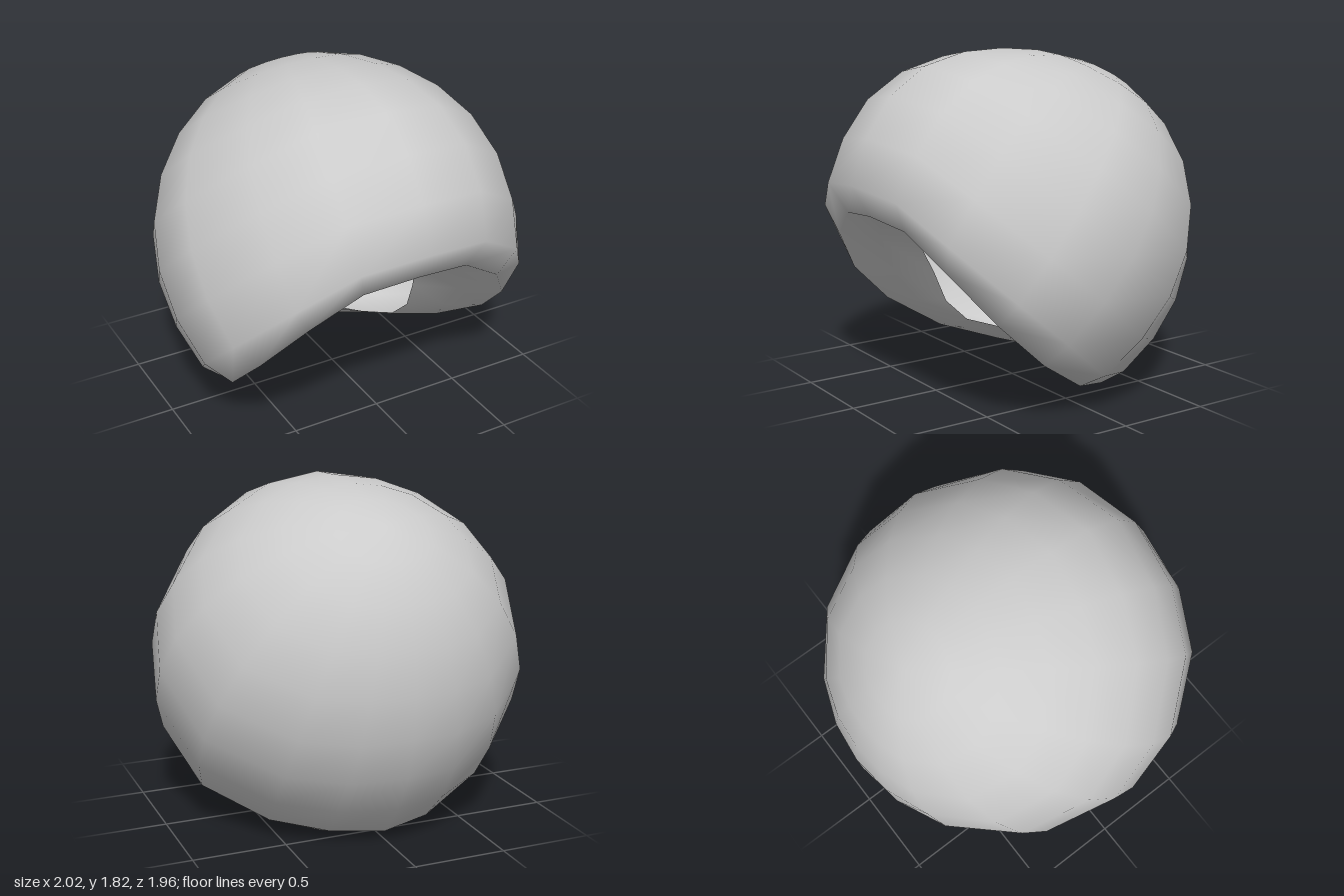
import * as THREE from 'three';

const V = (x, y, z) => new THREE.Vector3(x, y, z);
const CENTRE = V(0, 0.87, 0);
const POLE = V(0, 0.79, -0.61).normalize();   // points away from the opening
const BULGE = V(0, 0.69, 0.72).normalize();   // fuller upper front
const RINGS = 8;

// Half of a closed loop (x >= 0), mirrored to the full loop
function mirrorLoop(half) {
  const left = half.map(p => V(...p));
  const right = left.slice(1, -1).reverse().map(p => V(-p.x, p.y, p.z));
  return [...left, ...right];
}

// Dome radius in a given direction
function domeRadius(d) {
  const b = Math.max(0, d.dot(BULGE));
  return 0.94 + 0.04 * (1 - d.y * d.y) + 0.01 * d.x * d.x
    + 0.12 * d.y * d.y * d.z * d.z + 0.07 * b ** 6;
}

export function createModel() {
  const group = new THREE.Group();

  // Outer edge of the slanted opening, from the front down to the back
  const rim = mirrorLoop([
    [0, 1.17, 0.98], [0.36, 1.13, 0.93], [0.65, 0.95, 0.81],
    [0.87, 0.68, 0.56], [0.92, 0.45, 0.3], [0.8, 0.2, -0.02],
    [0.54, 0.09, -0.36], [0.28, 0.06, -0.55], [0, 0.05, -0.64],
  ]);
  // Lowest line of the rounded lip
  const lip = mirrorLoop([
    [0, 1.0, 0.88], [0.3, 0.97, 0.85], [0.56, 0.8, 0.77],
    [0.74, 0.55, 0.59], [0.79, 0.32, 0.35], [0.69, 0.13, 0.05],
    [0.5, 0.04, -0.24], [0.27, 0.01, -0.42], [0, 0, -0.52],
  ]);
  // Inner hole where the lip ends
  const hole = mirrorLoop([
    [0, 0.955, 0.56], [0.15, 0.915, 0.53], [0.27, 0.75, 0.43],
    [0.35, 0.55, 0.29], [0.375, 0.37, 0.2], [0.345, 0.25, 0.08],
    [0.27, 0.195, -0.09], [0.14, 0.187, -0.25], [0, 0.185, -0.3],
  ]);
  const n = rim.length;

  // Dome rings swept from the pole to the rim
  const loops = [];
  for (let i = 1; i <= RINGS; i++) {
    const t = i / RINGS;
    loops.push(rim.map(p => {
      const dir = p.clone().sub(CENTRE);
      const rimRadius = dir.length();
      dir.normalize();
      const axis = POLE.clone().cross(dir).normalize();
      const d = POLE.clone().applyAxisAngle(axis, POLE.angleTo(dir) * t);
      const r = THREE.MathUtils.lerp(domeRadius(d), rimRadius, t ** 4);
      return d.multiplyScalar(r).add(CENTRE);
    }));
  }
  // Lip turning inwards to the hole
  loops.push(lip, lip.map((p, j) => p.clone().lerp(hole[j], 0.5)), hole);

  // Skin the loops into one smooth surface
  const pole = POLE.clone().multiplyScalar(domeRadius(POLE)).add(CENTRE);
  const points = [pole, ...loops.flat()];
  const index = [];
  const id = (i, j) => 1 + i * n + (j % n);
  for (let j = 0; j < n; j++) {
    index.push(0, id(0, j), id(0, j + 1));
    for (let i = 0; i < loops.length - 1; i++) {
      index.push(id(i, j), id(i + 1, j), id(i, j + 1));
      index.push(id(i, j + 1), id(i + 1, j), id(i + 1, j + 1));
    }
  }
  const geometry = new THREE.BufferGeometry().setFromPoints(points);
  geometry.setIndex(index);
  geometry.computeVertexNormals();

  const shell = new THREE.Mesh(geometry,
    new THREE.MeshStandardMaterial({ color: 0xcccccc, side: THREE.DoubleSide }));
  shell.name = 'hollowDomeShell';
  group.add(shell);
  return group;
}
